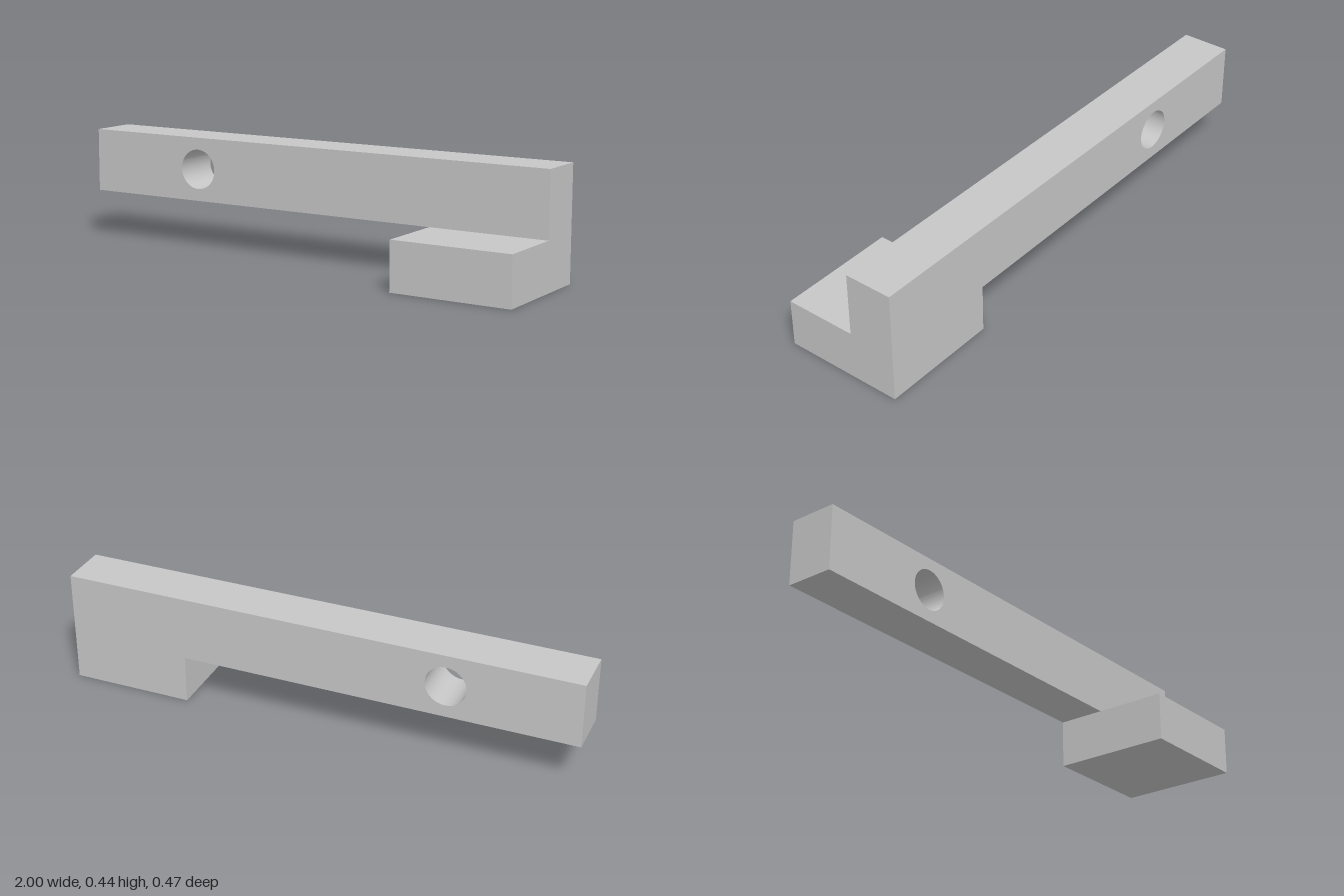
import * as THREE from 'three';
import { toCreasedNormals } from 'three/addons/utils/BufferGeometryUtils.js';

export function createModel() {
  const group = new THREE.Group();
  group.name = 'bracket';
  const grey = new THREE.MeshStandardMaterial({ color: 0xc6c6c6 });
  grey.name = 'light grey';

  const height = 0.438, footHeight = 0.188, footLeft = 0.531;
  const back = -0.235, barFront = -0.047, front = 0.235;

  // Bar with a round through hole and a drop at one end
  const outline = new THREE.Shape([
    [-1, footHeight], [footLeft, footHeight], [footLeft, 0], [1, 0], [1, height], [-1, height],
  ].map(([x, y]) => new THREE.Vector2(x, y)));
  const hole = new THREE.Path();
  hole.absarc(-0.5, 0.313, 0.078, 0, Math.PI * 2, true);
  outline.holes.push(hole);
  const barGeometry = new THREE.ExtrudeGeometry(outline, {
    depth: barFront - back, bevelEnabled: false, curveSegments: 48,
  });
  barGeometry.translate(0, 0, back);
  const bar = new THREE.Mesh(toCreasedNormals(barGeometry, Math.PI / 6), grey);
  bar.name = 'bar';
  group.add(bar);

  // Foot reaching forward from the drop
  const foot = new THREE.Mesh(
    new THREE.BoxGeometry(1 - footLeft, footHeight, front - barFront), grey);
  foot.name = 'foot';
  foot.position.set((1 + footLeft) / 2, footHeight / 2, (front + barFront) / 2);
  group.add(foot);

  return group;
}
